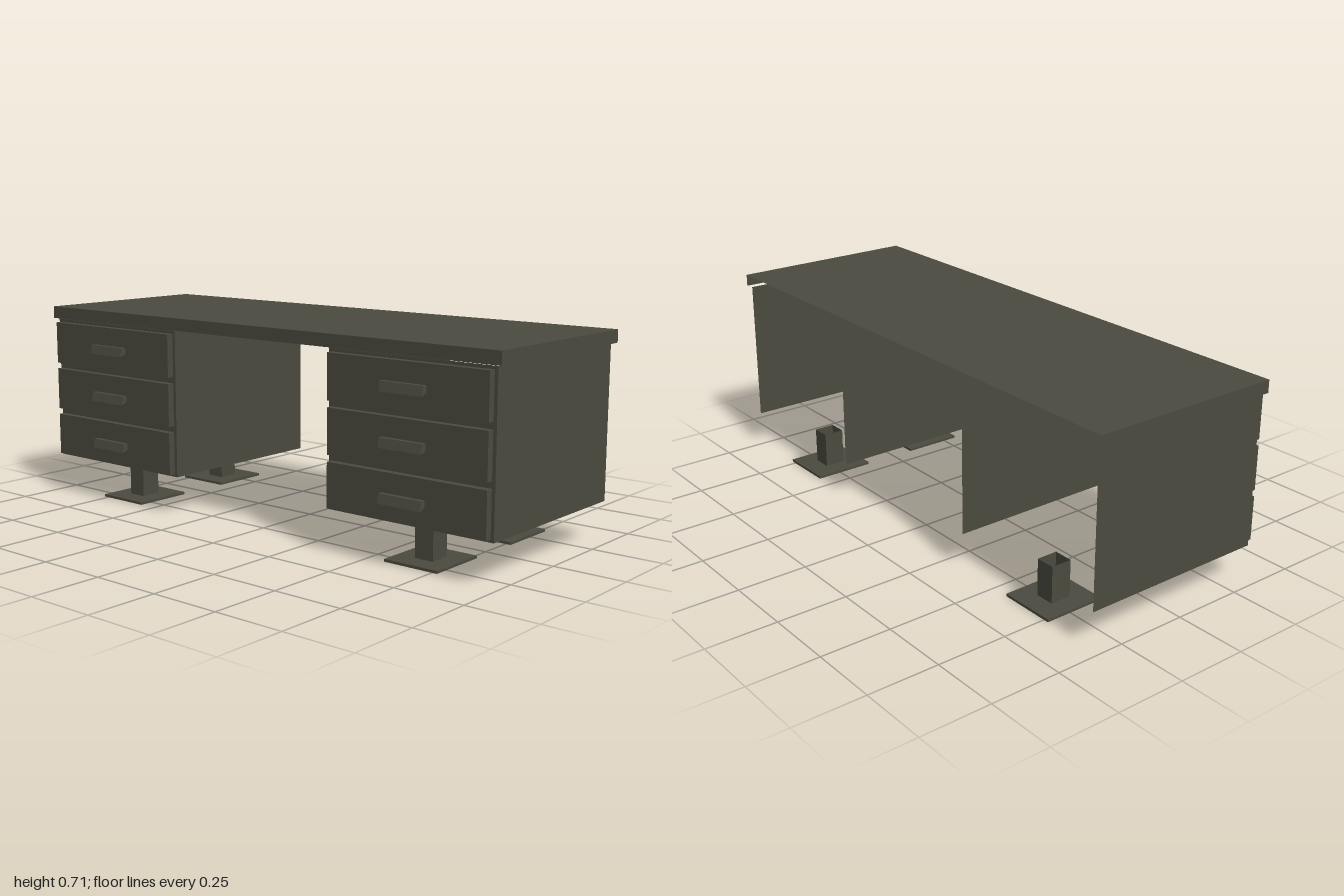
import * as THREE from 'three';

export function createModel() {
  const desk = new THREE.Group();
  desk.name = 'desk';
  const paint = new THREE.MeshStandardMaterial({ name: 'olive grey metal', color: 0x4b4b40, side: THREE.DoubleSide });

  const add = (parent, name, geo, x = 0, y = 0, z = 0) => {
    const mesh = new THREE.Mesh(geo, paint);
    mesh.name = name;
    mesh.position.set(x, y, z);
    parent.add(mesh);
    return mesh;
  };
  // Upright sheets facing z or x, given by their extents
  const sheetZ = (parent, name, x0, x1, y0, y1, z) =>
    add(parent, name, new THREE.PlaneGeometry(x1 - x0, y1 - y0), (x0 + x1) / 2, (y0 + y1) / 2, z);
  const sheetX = (parent, name, z0, z1, y0, y1, x) =>
    add(parent, name, new THREE.PlaneGeometry(z1 - z0, y1 - y0).rotateY(-Math.PI / 2), x, (y0 + y1) / 2, (z0 + z1) / 2);

  // Folded sheet top: rim on both ends and the drawer side, open at +x
  const top = new THREE.Group();
  top.name = 'tabletop';
  desk.add(top);
  add(top, 'topSheet', new THREE.PlaneGeometry(0.7, 2).rotateX(-Math.PI / 2), 0.017, 0.714, 0);
  for (const z of [-1, 1]) sheetZ(top, 'endRim', -0.333, 0.367, 0.67, 0.714, z);
  sheetX(top, 'drawerSideRim', -1, 1, 0.67, 0.714, -0.333);

  // Foot plate with a square hole below the hollow leg
  const footShape = new THREE.Shape([[-0.111, -0.102], [0.111, -0.102], [0.111, 0.102], [-0.111, 0.102]]
    .map(p => new THREE.Vector2(...p)));
  footShape.holes.push(new THREE.Path([[-0.038, -0.035], [-0.038, 0.035], [0.038, 0.035], [0.038, -0.035]]
    .map(p => new THREE.Vector2(...p))));
  const footGeo = new THREE.ExtrudeGeometry(footShape, { depth: 0.009, bevelEnabled: false }).rotateX(-Math.PI / 2);

  // Slanted drawer pull, side profile extruded along z
  const pullShape = new THREE.Shape([[0, 0.022], [-0.018, 0.022], [-0.025, -0.01], [0, 0]]
    .map(p => new THREE.Vector2(...p)));
  const pullGeo = new THREE.ExtrudeGeometry(pullShape, { depth: 0.164, bevelEnabled: false }).translate(0, 0, -0.082);

  for (const side of [-1, 1]) {
    const pedestal = new THREE.Group();
    pedestal.name = side > 0 ? 'frontPedestal' : 'backPedestal';
    pedestal.position.z = side * 0.667;
    desk.add(pedestal);

    // Cabinet shell, open below and at +x
    for (const z of [-0.315, 0.315]) sheetZ(pedestal, 'sidePanel', -0.321, 0.356, 0.14, 0.667, z);
    sheetX(pedestal, 'drawerPanel', -0.315, 0.315, 0.14, 0.667, -0.321);

    // Three drawers with pulls
    for (let i = 0; i < 3; i++) {
      const y = 0.226 + i * 0.1765;
      add(pedestal, 'drawer', new THREE.BoxGeometry(0.025, 0.154, 0.606), -0.3335, y, 0);
      add(pedestal, 'drawerPull', pullGeo, -0.345, y - 0.011, 0);
    }

    // Hollow square legs on foot plates
    for (const x of [-0.192, 0.232]) {
      for (const s of [-1, 1]) {
        sheetZ(pedestal, 'legWall', x - 0.038, x + 0.038, 0, 0.14, s * 0.035);
        sheetX(pedestal, 'legWall', -0.035, 0.035, 0, 0.14, x + s * 0.038);
      }
      add(pedestal, 'footPlate', footGeo, x, 0, 0);
    }
  }
  return desk;
}
